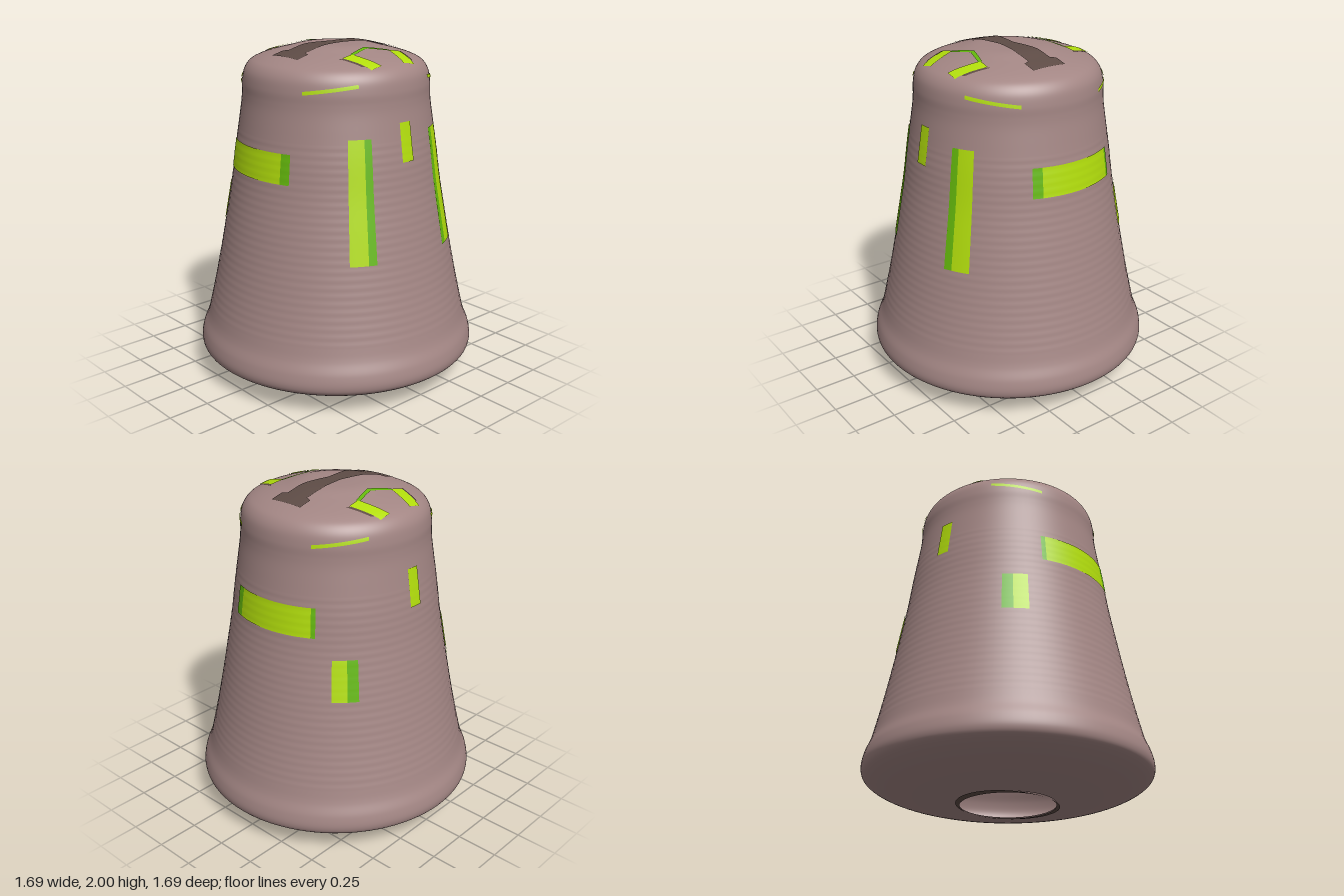
import * as THREE from 'three';

const mat = (name, color, side = THREE.DoubleSide) => {
  const m = new THREE.MeshStandardMaterial({ color, side });
  m.name = name;
  return m;
};

// Body outline from the bottom opening, round the lip and up to the crown
const outline = [
  [0.28, 0.008], [0.4, 0.024], [0.58, 0.05], [0.73, 0.09], [0.82, 0.135], [0.845, 0.18],
  [0.835, 0.25], [0.805, 0.325], [0.785, 0.4], [0.74, 0.6], [0.7, 0.8], [0.663, 1.0],
  [0.628, 1.2], [0.6, 1.4], [0.575, 1.56], [0.56, 1.66], [0.555, 1.72], [0.553, 1.78],
  [0.54, 1.845], [0.51, 1.89], [0.465, 1.917], [0.4, 1.94], [0.3, 1.966], [0.18, 1.992], [0, 1.995],
].map(([r, y]) => new THREE.Vector2(r, y));
const profile = new THREE.SplineCurve(outline).getSpacedPoints(300);
profile.forEach((p) => {
  p.x = Math.max(p.x, 0);
  // faint turned rings on the lower wall
  if (p.y > 0.4 && p.y < 1.5) p.x += 0.0006 * Math.sin((p.y * Math.PI * 2) / 0.045);
});
const side = profile.filter((p) => p.y > 0.22);

// Radius of the wall at height y
function radiusAt(y) {
  const i = Math.max(1, side.findIndex((p) => p.y >= y));
  const a = side[i - 1], b = side[i];
  return THREE.MathUtils.mapLinear(y, a.y, b.y, a.x, b.x);
}

// Height of the crown at radius r
function crownAt(r) {
  const i = side.findIndex((p) => p.y > 1.8 && p.x <= r);
  const a = side[i - 1], b = side[i];
  return b ? THREE.MathUtils.mapLinear(r, a.x, b.x, a.y, b.y) : 1.995;
}

// Sheet following the function f(u, v) -> [x, y, z]
function sheet(name, material, f, nu = 12, nv = 12) {
  const g = new THREE.PlaneGeometry(1, 1, nu, nv);
  const p = g.attributes.position;
  for (let i = 0; i < p.count; i++) p.setXYZ(i, ...f(p.getX(i) + 0.5, p.getY(i) + 0.5));
  g.computeVertexNormals();
  const m = new THREE.Mesh(g, material);
  m.name = name;
  return m;
}

const LIFT = 0.005;
const lerp = THREE.MathUtils.lerp;

// Painted patch on the wall; angles in degrees from +x towards +z, slant tilts it
function wallPatch(name, material, a0, a1, y0, y1, slant = 0) {
  return sheet(name, material, (u, v) => {
    const a = THREE.MathUtils.degToRad(lerp(a0, a1, u));
    const y = lerp(y0, y1, v) + slant * u;
    const r = radiusAt(y) + LIFT;
    return [r * Math.cos(a), y, r * Math.sin(a)];
  }, 16, 14);
}

// Painted quad on the crown from four [x, z] corners
function crownPatch(name, material, [a, b, c, d], lift = LIFT) {
  return sheet(name, material, (u, v) => {
    const x = lerp(lerp(a[0], b[0], u), lerp(d[0], c[0], u), v);
    const z = lerp(lerp(a[1], b[1], u), lerp(d[1], c[1], u), v);
    return [x, crownAt(Math.hypot(x, z)) + lift, z];
  });
}

export function createModel() {
  const clay = mat('dusty mauve', 0xa38684);
  const lime = mat('lime', 0xb2de0c);
  const leaf = mat('leaf green', 0x64b80c);
  const brown = mat('dark brown', 0x5e4c46);
  const model = new THREE.Group();

  // Hollow body
  const body = new THREE.Mesh(new THREE.LatheGeometry(profile, 96), clay);
  body.name = 'body';
  model.add(body);

  // Wall and crown markings, repeated on the front and back halves
  for (const s of [1, -1]) {
    const wall = (name, m, a0, a1, ...rest) => model.add(wallPatch(name, m, s * a0, s * a1, ...rest));
    wall('wideBand', lime, 72, 119.5, 1.28, 1.45);
    wall('wideBandEnd', leaf, 66.5, 72, 1.28, 1.45);
    wall('wideBandEnd', leaf, 119.5, 122, 1.28, 1.45);
    wall('longStripe', lime, 26.5, 35.5, 0.85, 1.54);
    wall('longStripeEdge', leaf, 22.5, 26.5, 0.85, 1.54);
    wall('shortPatch', lime, 130.5, 138, 0.92, 1.16);
    wall('shortPatchEdge', leaf, 138, 143.5, 0.92, 1.16);
    wall('shoulderLine', lime, 29, 61, 1.815, 1.835, -0.04);
    wall('shoulderLine', lime, 151, 119, 1.815, 1.835, -0.04);

    for (const t of [1, -1]) {
      const crown = (name, m, pts, lift) =>
        model.add(crownPatch(name, m, pts.map(([x, z]) => [t * x, s * z]), lift));
      crown('crownPatch', lime, [[0.29, 0.14], [0.47, 0.085], [0.475, 0.165], [0.3, 0.222]]);
      crown('crownPatchShade', brown, [[0.31, 0.215], [0.44, 0.172], [0.43, 0.195], [0.29, 0.24]], 0.003);
      crown('crownChevron', leaf, [[0.235, 0], [0.26, 0], [0.305, 0.14], [0.285, 0.15]]);
    }
  }

  // Narrow marks in the middle of each side
  model.add(wallPatch('sideMark', lime, -4, 4, 1.39, 1.61));
  model.add(wallPatch('sideMark', lime, 176, 184, 1.39, 1.61));

  // Strap over the crown: narrow in the middle, flared ends
  model.add(sheet('crownStrap', brown, (u, v) => {
    const z = lerp(-0.395, 0.395, v), d = Math.abs(z);
    const half = d > 0.315 ? 0.11 : 0.045 + 0.03 * Math.min(1, d / 0.2);
    const x = 0.01 + lerp(-half, half, u);
    return [x, crownAt(Math.hypot(x, z)) + LIFT, z];
  }, 8, 60));

  // Dark uneven rim round the bottom opening
  model.add(sheet('openingRim', brown, (u, v) => {
    const a = u * Math.PI * 2;
    const r = lerp(0.278, 0.3 + 0.022 * Math.cos(2 * a), v);
    return [r * Math.cos(a), Math.max(0, (r - 0.278) * 0.13), r * Math.sin(a)];
  }, 64, 2));

  return model;
}
